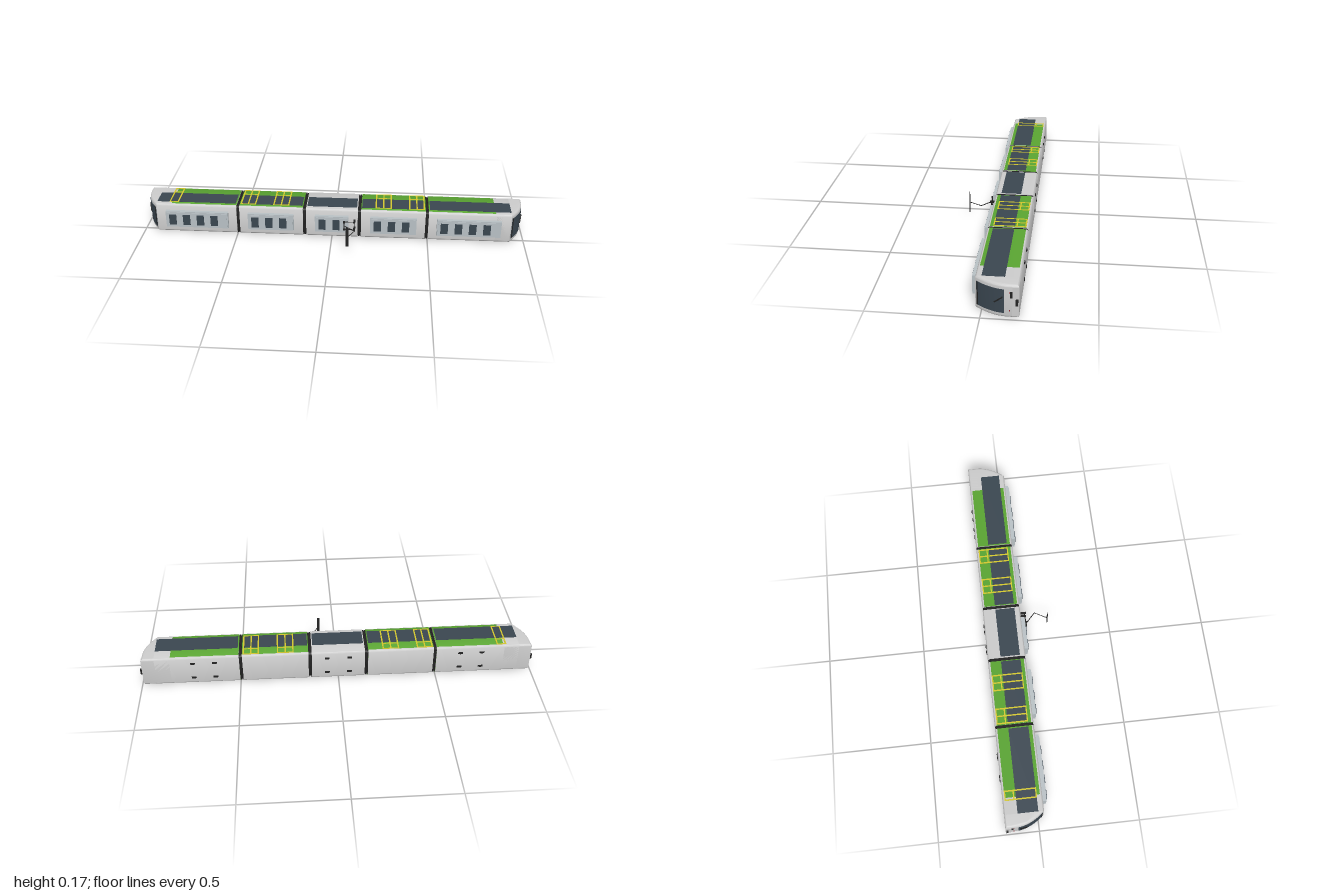
import * as THREE from 'three';
import { toCreasedNormals } from 'three/addons/utils/BufferGeometryUtils.js';

const mat = (color) => new THREE.MeshStandardMaterial({ color });
const M = {
  grey: mat(0xcccccc), roof: mat(0xb8c0c4), green: mat(0x5aa532), glass: mat(0x3a4650),
  yellow: mat(0xd2c62c), black: mat(0x222222), red: mat(0x8a1c24),
};
const W = 0.162, MID = W / 2, FLOOR = -0.166, ROOF = 0.028, R = 0.012;

export function createModel() {
  const root = new THREE.Group();
  root.name = 'tram';

  const add = (name, geo, material) => {
    const mesh = new THREE.Mesh(geo, material);
    mesh.name = name;
    root.add(mesh);
    return mesh;
  };

  // box from its limits on each axis
  const box = (name, m, x0, x1, y0, y1, z0, z1) => {
    const mesh = add(name, new THREE.BoxGeometry(x1 - x0, y1 - y0, z1 - z0), m);
    mesh.position.set((x0 + x1) / 2, (y0 + y1) / 2, (z0 + z1) / 2);
    return mesh;
  };

  // round bar between two points
  const rod = (name, m, a, b, r) => {
    const p = new THREE.Vector3(...a), q = new THREE.Vector3(...b);
    const mesh = add(name, new THREE.CylinderGeometry(r, r, p.distanceTo(q), 8), m);
    mesh.position.copy(p).add(q).multiplyScalar(0.5);
    mesh.quaternion.setFromUnitVectors(new THREE.Vector3(0, 1, 0), q.sub(p).normalize());
  };

  // rounded cross-section (y, z) swept along x; dy, dz grow or shrink it
  const hull = (name, m, x0, x1, dy = 0, dz = 0) => {
    const y0 = -dy, y1 = W + dy, z0 = FLOOR - dz, z1 = ROOF + dz;
    const s = new THREE.Shape();
    s.moveTo(y0 + R, z0);
    s.absarc(y1 - R, z0 + R, R, -Math.PI / 2, 0);
    s.absarc(y1 - R, z1 - R, R, 0, Math.PI / 2);
    s.absarc(y0 + R, z1 - R, R, Math.PI / 2, Math.PI);
    s.absarc(y0 + R, z0 + R, R, Math.PI, Math.PI * 1.5);
    const g = new THREE.ExtrudeGeometry(s, { depth: x1 - x0, bevelEnabled: false, curveSegments: 6 });
    g.applyMatrix4(new THREE.Matrix4().makeBasis(
      new THREE.Vector3(0, 1, 0), new THREE.Vector3(0, 0, 1), new THREE.Vector3(1, 0, 0)));
    g.translate(x0, 0, 0);
    add(name, toCreasedNormals(g, 0.6), m);
  };

  // side profile (x, z) swept across the width, edges rounded by bevel
  const across = (name, m, pts, width, bevel) => {
    const s = new THREE.Shape(pts.map(([x, z]) => new THREE.Vector2(x, z)));
    const g = new THREE.ExtrudeGeometry(s, {
      depth: width - 2 * bevel, bevelEnabled: bevel > 0, bevelSize: bevel,
      bevelThickness: bevel, bevelOffset: -bevel, bevelSegments: 4,
    });
    g.translate(0, 0, bevel - width / 2);
    g.rotateX(Math.PI / 2);
    g.translate(0, MID, 0);
    add(name, toCreasedNormals(g, 0.6), m);
  };

  // thin panel repeated on both sides of the tram, standing out by d
  const sides = (name, m, x0, x1, z0, z1, d) => {
    box(name, m, x0, x1, W - 0.004, W + d, z0, z1);
    box(name, m, x0, x1, -d, 0.004, z0, z1);
  };

  // car bodies, green side skins and window bands
  const cars = [
    { x: [-0.925, -0.502], green: [-0.845, -0.502], glass: [-0.925, -0.508] },
    { x: [-0.486, -0.152], green: [-0.486, -0.152], glass: [-0.482, -0.156] },
    { x: [-0.135, 0.135], glass: [-0.13, 0.13] },
    { x: [0.152, 0.486], green: [0.152, 0.486], glass: [0.156, 0.482] },
    { x: [0.502, 0.925], green: [0.502, 0.845], glass: [0.508, 0.925] },
  ];
  for (const c of cars) {
    hull('carBody', M.grey, ...c.x);
    if (c.green) hull('greenSides', M.green, ...c.green, 0.0006, -0.003);
    sides('windowBand', M.glass, ...c.glass, -0.1, 0, 0.0012);
  }

  // bellows between the cars
  for (const x of [-0.494, -0.1435, 0.1435, 0.494]) {
    hull('bellows', M.black, x - 0.009, x + 0.009, -0.006, -0.006);
    for (const d of [-0.004, 0.004]) hull('bellowsRib', M.black, x + d - 0.002, x + d + 0.002, -0.002, -0.002);
  }

  // doors: a yellow frame per leaf with a crossbar
  const door = (x0, x1, leaves) => {
    const t = 0.007, d = 0.002, step = (x1 - x0 - t) / leaves;
    for (let i = 0; i <= leaves; i++) {
      sides('doorPost', M.yellow, x0 + i * step, x0 + i * step + t, -0.155, 0.002, d);
    }
    for (const z of [-0.155, -0.113, -0.004]) sides('doorRail', M.yellow, x0, x1, z, z + 0.006, d);
  };
  door(-0.86, -0.81, 1);
  for (const [a, b] of [[0.225, 0.31], [0.4, 0.482]]) {
    door(a, b, 2);
    door(-b, -a, 2);
  }

  // sloping cab ends
  const noseX = (z) => 0.988 - 0.063 * Math.max(0, (z + 0.12) / 0.148) ** 2;
  const curve = (z0, z1, d, n = 12) => Array.from({ length: n + 1 }, (_, i) => {
    const z = z0 + ((z1 - z0) * i) / n;
    return [noseX(z) + d, z];
  });
  for (const s of [-1, 1]) {
    const flip = (pts) => pts.map(([x, z]) => [s * x, z]);
    const end = (name, m, x0, x1, ...rest) =>
      box(name, m, Math.min(s * x0, s * x1), Math.max(s * x0, s * x1), ...rest);
    across('cabNose', M.grey, flip([[0.85, FLOOR], ...curve(FLOOR, ROOF, 0, 16), [0.85, ROOF]]), W, R);
    across('windscreen', M.glass,
      flip([...curve(-0.103, 0.022, 0.002), ...curve(-0.103, 0.022, -0.012).reverse()]), 0.116, 0);
    across('windscreenTopStrip', M.black,
      flip([...curve(0.015, 0.021, 0.003, 2), ...curve(0.015, 0.021, -0.01, 2).reverse()]), 0.116, 0);
    end('bumper', M.grey, 0.97, 0.991, 0.01, 0.152, -0.164, -0.137);
    end('coupler', M.black, 0.98, 1, 0.067, 0.096, -0.162, -0.152);
    end('ventPanel', M.black, 0.98, 0.992, 0.1, 0.13, -0.137, -0.127);
    for (const y of [0.037, 0.125]) end('tailLight', M.red, 0.98, 0.991, y - 0.002, y + 0.002, -0.127, -0.123);
    rod('wiper', M.black, [s * (noseX(-0.06) + 0.005), 0.073, -0.06], [s * (noseX(-0.095) + 0.005), 0.103, -0.095], 0.003);
  }

  // wheels just showing below the floor
  for (const x of [-0.735, -0.625, -0.057, 0.057, 0.625, 0.735]) {
    for (const y of [0.037, 0.125]) {
      const wheel = add('wheel', new THREE.CylinderGeometry(0.02, 0.02, 0.01, 20), M.black);
      wheel.position.set(x, y, -0.1505);
    }
  }

  // roof units with raised lids and dark fan hatches
  const units = [
    [-0.71, 0.165, 4], [-0.32, 0.12, 3], [0, 0.088, 2], [0.32, 0.12, 3], [0.71, 0.165, 4],
  ];
  for (const [x, half, fans] of units) {
    box('roofUnit', M.roof, x - half, x + half, 0.037, 0.128, ROOF - 0.004, 0.046);
    box('roofUnitLid', M.roof, x - half + 0.006, x + half - 0.006, 0.042, 0.123, 0.045, 0.049);
    for (let i = 0; i < fans; i++) {
      const fx = x - half + 0.038 + i * 0.073;
      box('fanHatch', M.glass, fx - 0.019, fx + 0.019, 0.053, 0.111, 0.048, 0.0525);
    }
  }

  // current collector on the middle car
  for (const x of [0.065, 0.118]) {
    for (const y of [0.06, 0.104]) {
      box('insulator', M.black, x - 0.005, x + 0.005, y - 0.004, y + 0.004, ROOF - 0.002, 0.06);
    }
    rod('collectorBase', M.black, [x, 0.06, 0.053], [x, 0.104, 0.053], 0.002);
  }
  for (const y of [0.06, 0.104]) rod('collectorBase', M.black, [0.065, y, 0.053], [0.118, y, 0.053], 0.002);
  rod('lowerArm', M.black, [0.065, MID, 0.053], [0.122, MID, 0.105], 0.0022);
  rod('upperArm', M.black, [0.122, MID, 0.105], [0.087, MID, 0.169], 0.0018);
  box('contactBar', M.black, 0.08, 0.094, 0.027, 0.137, 0.168, 0.171);

  return root;
}
